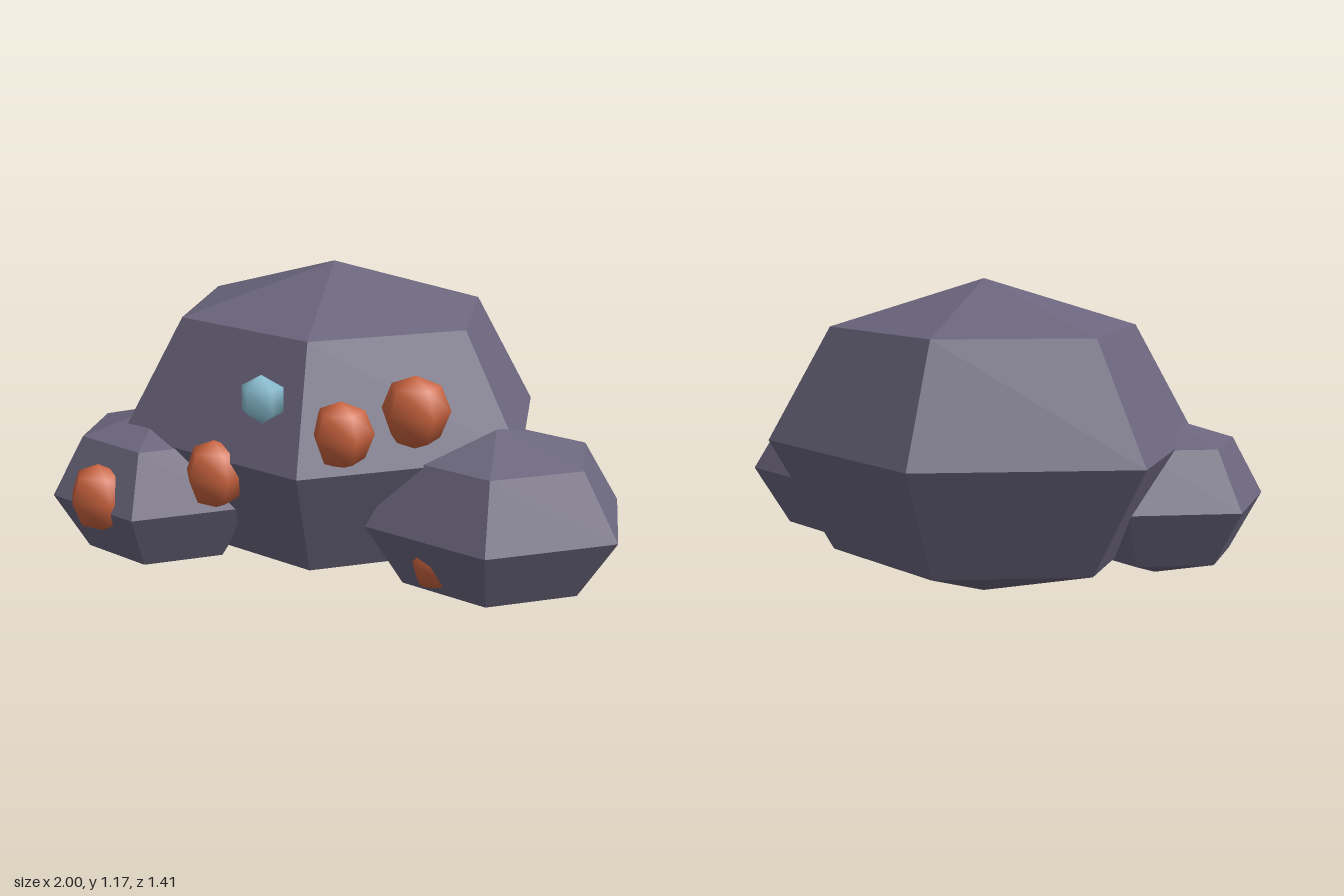
import * as THREE from 'three';

export function createModel() {
  const group = new THREE.Group();
  const stone = new THREE.MeshStandardMaterial({ color: 0x6b667d });
  const ember = new THREE.MeshStandardMaterial({ color: 0xcb6440 });
  const ice = new THREE.MeshStandardMaterial({ color: 0x8fc6da });

  // Coarse ellipsoid with its first meridian turned to face the back
  function blob(name, material, sides, rings, pos, radii, faceted) {
    let geo = new THREE.SphereGeometry(1, sides, rings);
    geo.rotateY(-Math.PI / 2);
    geo.scale(...radii);
    if (faceted) {
      geo = geo.toNonIndexed();
      geo.computeVertexNormals();
    }
    const mesh = new THREE.Mesh(geo, material);
    mesh.name = name;
    mesh.position.set(...pos);
    group.add(mesh);
  }

  // Boulders
  blob('mainBoulder', stone, 6, 4, [-0.05, 0.586, -0.017], [0.82, 0.586, 0.687], true);
  blob('leftBoulder', stone, 6, 4, [0.575, 0.367, 0.298], [0.49, 0.322, 0.405], true);
  blob('rightBoulder', stone, 6, 4, [-0.645, 0.369, 0.232], [0.41, 0.3, 0.372], true);

  // Orange nodules in a rising row, the last one half buried
  const nodules = [
    [[-0.8, 0.4, 0.483], [0.12, 0.125, 0.101]],
    [[-0.37, 0.527, 0.508], [0.115, 0.123, 0.101]],
    [[0.083, 0.718, 0.573], [0.112, 0.117, 0.1]],
    [[0.323, 0.805, 0.553], [0.121, 0.125, 0.102]],
    [[0.4, 0.26, 0.475], [0.12, 0.12, 0.1]],
  ];
  nodules.forEach(([pos, radii], i) => blob('nodule' + (i + 1), ember, 5, 4, pos, radii, false));

  // Small pale crystal
  blob('crystal', ice, 5, 3, [-0.175, 0.838, 0.608], [0.085, 0.084, 0.045], false);

  return group;
}
